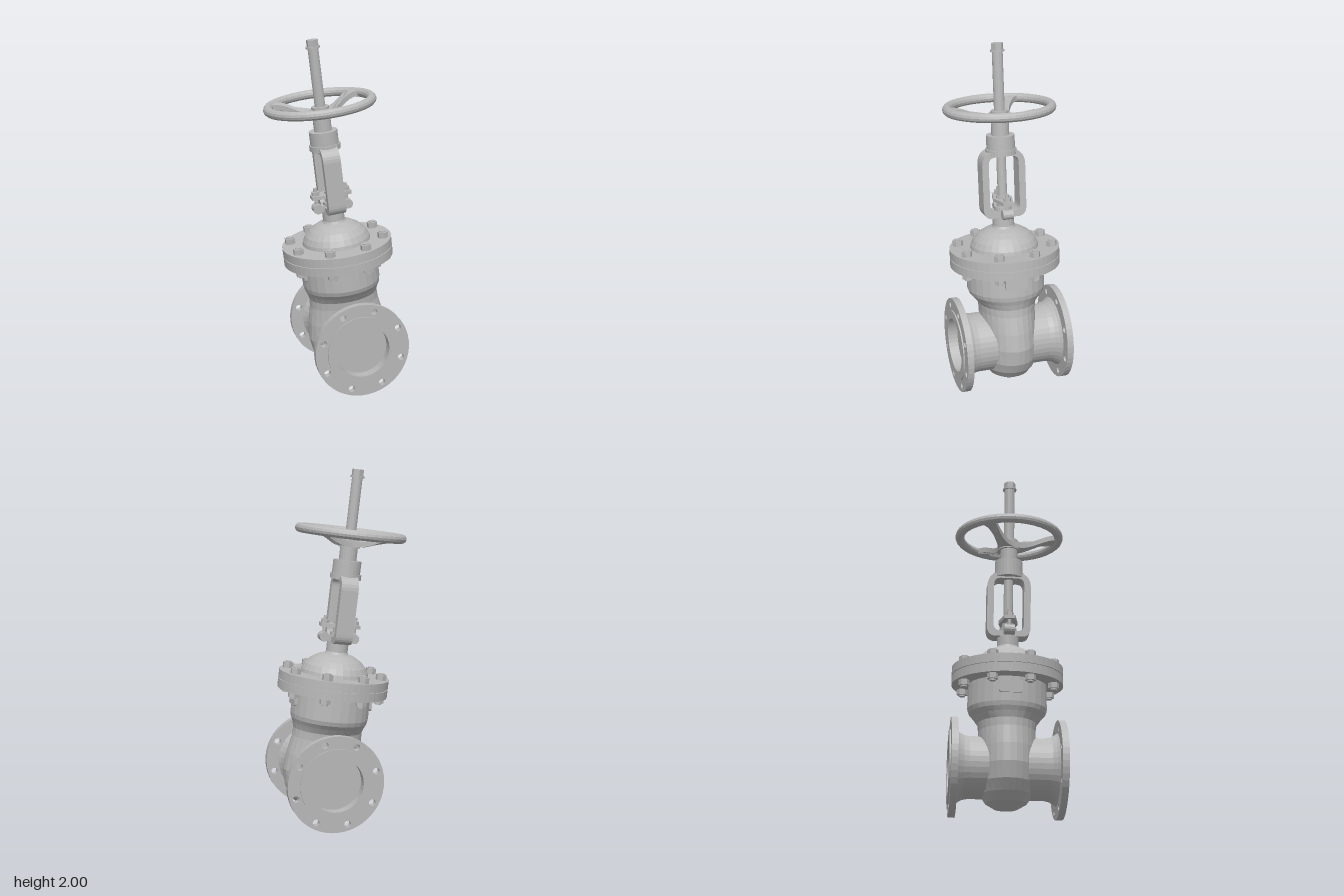
import * as THREE from 'three';

const iron = new THREE.MeshStandardMaterial({ color: 0xb8b8b8, flatShading: true });
iron.name = 'cast iron grey';

function add(parent, name, geometry, x = 0, y = 0, z = 0) {
  const mesh = new THREE.Mesh(geometry, iron);
  mesh.name = name;
  mesh.position.set(x, y, z);
  parent.add(mesh);
  return mesh;
}

const lathe = (points, segments = 32) =>
  new THREE.LatheGeometry(points.map(([r, y]) => new THREE.Vector2(r, y)), segments);

// Cylinder spanning two heights
function rod(parent, name, r, y0, y1, segments = 24, x = 0, z = 0) {
  return add(parent, name, new THREE.CylinderGeometry(r, r, y1 - y0, segments), x, (y0 + y1) / 2, z);
}

function circleHole(x, y, r) {
  const path = new THREE.Path();
  path.absarc(x, y, r, 0, Math.PI * 2, true);
  return path;
}

function roundedRect(path, w, y0, y1, r) {
  path.moveTo(-w + r, y0);
  path.lineTo(w - r, y0);
  path.quadraticCurveTo(w, y0, w, y0 + r);
  path.lineTo(w, y1 - r);
  path.quadraticCurveTo(w, y1, w - r, y1);
  path.lineTo(-w + r, y1);
  path.quadraticCurveTo(-w, y1, -w, y1 - r);
  path.lineTo(-w, y0 + r);
  path.quadraticCurveTo(-w, y0, -w + r, y0);
  return path;
}

// Body: round neck blending into a pouch flattened along the pipe [height, rx, rz]
function bodyGeometry() {
  const rows = [
    [-0.235, 0.001, 0.001], [-0.225, 0.075, 0.065], [-0.195, 0.135, 0.115], [-0.15, 0.18, 0.145],
    [-0.09, 0.215, 0.157], [0, 0.232, 0.16], [0.1, 0.222, 0.16], [0.2, 0.202, 0.16],
    [0.245, 0.2, 0.166], [0.28, 0.21, 0.192], [0.305, 0.22, 0.215], [0.33, 0.224, 0.224], [0.48, 0.222, 0.222],
  ];
  const geometry = lathe(rows.map(([y, rx]) => [rx, y]), 28);
  const p = geometry.attributes.position;
  for (let i = 0; i < p.count; i++) {
    const [, rx, rz] = rows[i % rows.length];
    p.setZ(i, p.getZ(i) * rz / rx);
  }
  return geometry;
}

// Pipe end along +z with a drilled flange and recessed bore
function pipeEnd(name) {
  const end = new THREE.Group();
  end.name = name;
  add(end, 'pipe', lathe([[0.172, 0.05], [0.172, 0.21], [0.178, 0.24], [0.19, 0.262], [0.205, 0.28]], 36)
    .rotateX(Math.PI / 2));
  const shape = new THREE.Shape();
  shape.absarc(0, 0, 0.275, 0, Math.PI * 2);
  shape.holes.push(circleHole(0, 0, 0.155));
  for (let i = 0; i < 8; i++) {
    const a = (i + 0.5) * Math.PI / 4;
    shape.holes.push(circleHole(0.237 * Math.cos(a), 0.237 * Math.sin(a), 0.019));
  }
  add(end, 'pipeFlange', new THREE.ExtrudeGeometry(shape, { depth: 0.037, bevelEnabled: false, curveSegments: 24 }), 0, 0, 0.277);
  add(end, 'raisedFace', lathe([[0.205, 0.31], [0.205, 0.322], [0.155, 0.322], [0.155, 0.265], [0, 0.265]], 40)
    .rotateX(Math.PI / 2));
  return end;
}

// Hand wheel spoke: waisted plate rising from the hub to the rim
function spokeGeometry() {
  const s = new THREE.Shape();
  s.moveTo(0.03, -0.055);
  s.quadraticCurveTo(0.1, -0.022, 0.17, -0.023);
  s.quadraticCurveTo(0.235, -0.025, 0.275, -0.045);
  s.lineTo(0.275, 0.045);
  s.quadraticCurveTo(0.235, 0.025, 0.17, 0.023);
  s.quadraticCurveTo(0.1, 0.022, 0.03, 0.055);
  const geometry = new THREE.ExtrudeGeometry(s, { depth: 0.03, bevelEnabled: false, curveSegments: 6 });
  geometry.rotateX(-Math.PI / 2);
  const p = geometry.attributes.position;
  for (let i = 0; i < p.count; i++) {
    const k = THREE.MathUtils.smoothstep(p.getX(i), 0.05, 0.26);
    p.setY(i, p.getY(i) + 1.3 + 0.06 * k);
  }
  return geometry;
}

export function createModel() {
  const model = new THREE.Group();
  model.name = 'gateValve';

  // Everything shares the leaning axis through the pipe centre
  const valve = new THREE.Group();
  valve.name = 'valve';
  valve.position.set(0.095, 0.276, 0);
  valve.rotation.set(0, -0.037, 0.121);
  model.add(valve);

  add(valve, 'body', bodyGeometry());
  const front = pipeEnd('frontPipeEnd');
  const back = pipeEnd('backPipeEnd');
  back.rotation.y = Math.PI;
  valve.add(front, back);

  // Cast pads on both sides of the neck
  for (const side of [1, -1]) {
    const pad = new THREE.Shape();
    roundedRect(pad, 0.065, -0.035, 0.035, 0.02);
    const geometry = new THREE.ExtrudeGeometry(pad, { depth: 0.022, bevelEnabled: false, curveSegments: 4 });
    add(valve, 'sidePad', geometry, side * 0.207, 0.41, 0).rotation.y = side * Math.PI / 2;
  }

  // Bolted bonnet joint
  rod(valve, 'bodyFlange', 0.315, 0.468, 0.517, 56);
  rod(valve, 'gasket', 0.308, 0.516, 0.523, 56);
  rod(valve, 'bonnetFlange', 0.315, 0.522, 0.57, 56);
  for (let i = 0; i < 8; i++) {
    const a = (i + 0.5) * Math.PI / 4;
    const x = 0.27 * Math.cos(a), z = 0.27 * Math.sin(a);
    rod(valve, 'upperNut', 0.031, 0.57, 0.602, 6, x, z);
    rod(valve, 'lowerNut', 0.031, 0.437, 0.468, 6, x, z);
    rod(valve, 'stud', 0.018, 0.428, 0.608, 10, x, z);
  }

  // Domed bonnet and neck
  add(valve, 'bonnet', lathe([[0.197, 0.565], [0.192, 0.59], [0.175, 0.622], [0.145, 0.652], [0.105, 0.676],
    [0.068, 0.688], [0.062, 0.7], [0.062, 0.775], [0, 0.775]], 28));

  // Yoke frame
  const frame = new THREE.Shape();
  frame.moveTo(-0.085, 0.752);
  frame.lineTo(0.085, 0.752);
  frame.quadraticCurveTo(0.125, 0.76, 0.125, 0.81);
  frame.lineTo(0.125, 1.06);
  frame.quadraticCurveTo(0.122, 1.12, 0.075, 1.135);
  frame.lineTo(-0.075, 1.135);
  frame.quadraticCurveTo(-0.122, 1.12, -0.125, 1.06);
  frame.lineTo(-0.125, 0.81);
  frame.quadraticCurveTo(-0.125, 0.76, -0.085, 0.752);
  frame.holes.push(roundedRect(new THREE.Path(), 0.087, 0.785, 1.105, 0.04));
  const yoke = new THREE.ExtrudeGeometry(frame, { depth: 0.1, bevelEnabled: false, curveSegments: 6 });
  add(valve, 'yoke', yoke.translate(0, 0, -0.05).rotateY(Math.PI / 2));

  // Packing gland with its two swing bolts
  rod(valve, 'packingBox', 0.05, 0.77, 0.81, 20);
  rod(valve, 'glandSleeve', 0.036, 0.8, 0.87, 20);
  const plate = new THREE.Shape();
  plate.setFromPoints([[-0.115, -0.03], [0, -0.055], [0.115, -0.03], [0.115, 0.03], [0, 0.055], [-0.115, 0.03]]
    .map(([x, y]) => new THREE.Vector2(x, y)));
  add(valve, 'glandPlate', new THREE.ExtrudeGeometry(plate, { depth: 0.02, bevelEnabled: false })
    .rotateX(-Math.PI / 2), 0, 0.838, 0);
  for (const side of [1, -1]) {
    const x = side * 0.088;
    add(valve, 'boltLug', new THREE.BoxGeometry(0.06, 0.035, 0.05), side * 0.062, 0.775, 0);
    add(valve, 'boltEye', new THREE.CylinderGeometry(0.028, 0.028, 0.06, 14).rotateX(Math.PI / 2), x, 0.78, 0);
    rod(valve, 'glandBolt', 0.011, 0.78, 0.9, 10, x);
    rod(valve, 'glandNut', 0.024, 0.858, 0.88, 6, x);
  }

  // Yoke head, drive sleeve and stem
  rod(valve, 'collarRing', 0.088, 1.115, 1.145, 28);
  rod(valve, 'yokeCollar', 0.08, 1.145, 1.222, 28);
  rod(valve, 'driveSleeve', 0.05, 1.222, 1.36, 20);
  rod(valve, 'stem', 0.027, 0.8, 1.72, 16);
  rod(valve, 'stemThread', 0.03, 1.36, 1.69, 16);
  rod(valve, 'stemWasher', 0.04, 1.685, 1.695, 18);
  rod(valve, 'stemNut', 0.034, 1.695, 1.731, 6);

  // Hand wheel
  const wheel = new THREE.Group();
  wheel.name = 'handWheel';
  valve.add(wheel);
  add(wheel, 'rim', new THREE.TorusGeometry(0.29, 0.026, 12, 40).rotateX(Math.PI / 2), 0, 1.375, 0);
  rod(wheel, 'hub', 0.062, 1.295, 1.345, 24);
  for (let i = 0; i < 3; i++) {
    add(wheel, 'spoke', spokeGeometry()).rotation.y = -Math.PI / 2 + i * Math.PI * 2 / 3;
  }
  return model;
}
